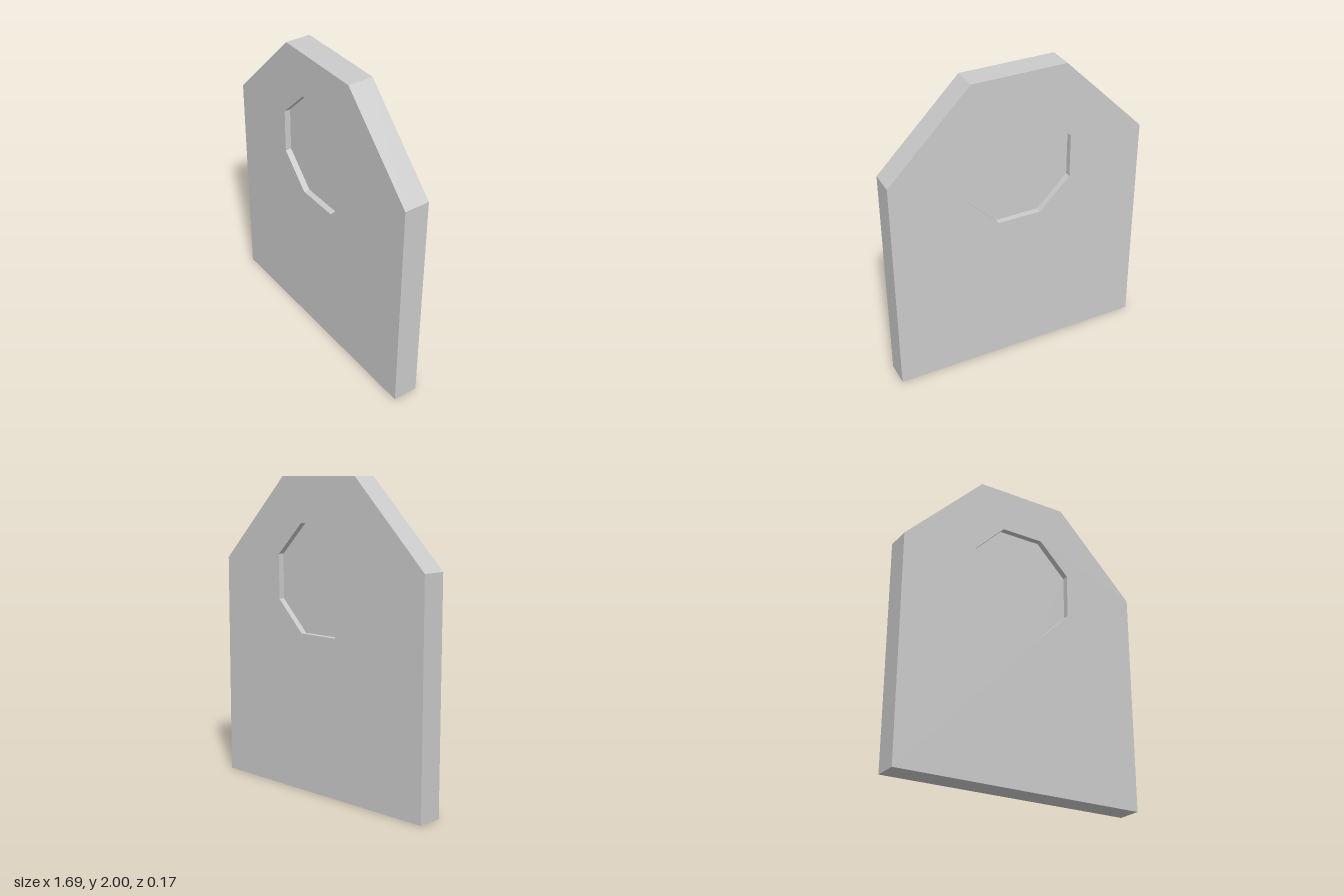
import * as THREE from 'three';

const WIDTH = 0.844, SHOULDER = 1.463, TOP = 0.309; // plate outline (half widths, shoulder height)
const THICKNESS = 0.165, RECESS = 0.04;
const CENTRE_Y = 1.367, APOTHEM = 0.347;

// Octagon with flat top, bottom and sides
function octagon() {
  const r = APOTHEM / Math.cos(Math.PI / 8);
  return Array.from({ length: 8 }, (_, i) => {
    const a = (i + 0.5) * Math.PI / 4;
    return new THREE.Vector2(r * Math.cos(a), CENTRE_Y + r * Math.sin(a));
  });
}

export function createModel() {
  const group = new THREE.Group();
  const material = new THREE.MeshStandardMaterial({ color: 0xcccccc, flatShading: true });

  // Plate with chamfered upper corners and an octagonal opening
  const outline = new THREE.Shape([
    [-WIDTH, 0], [WIDTH, 0], [WIDTH, SHOULDER],
    [TOP, 2], [-TOP, 2], [-WIDTH, SHOULDER],
  ].map(([x, y]) => new THREE.Vector2(x, y)));
  outline.holes.push(new THREE.Path(octagon().reverse()));
  const plateGeometry = new THREE.ExtrudeGeometry(outline, { depth: THICKNESS, bevelEnabled: false });
  plateGeometry.translate(0, 0, -THICKNESS / 2);
  const plate = new THREE.Mesh(plateGeometry, material);
  plate.name = 'plate';
  group.add(plate);

  // Floors of the shallow recesses, front and back
  for (const side of [1, -1]) {
    const floor = new THREE.Mesh(new THREE.ShapeGeometry(new THREE.Shape(octagon())), material);
    floor.name = side > 0 ? 'frontRecessFloor' : 'backRecessFloor';
    floor.position.z = side * (THICKNESS / 2 - RECESS);
    if (side < 0) floor.rotation.y = Math.PI;
    group.add(floor);
  }
  return group;
}
